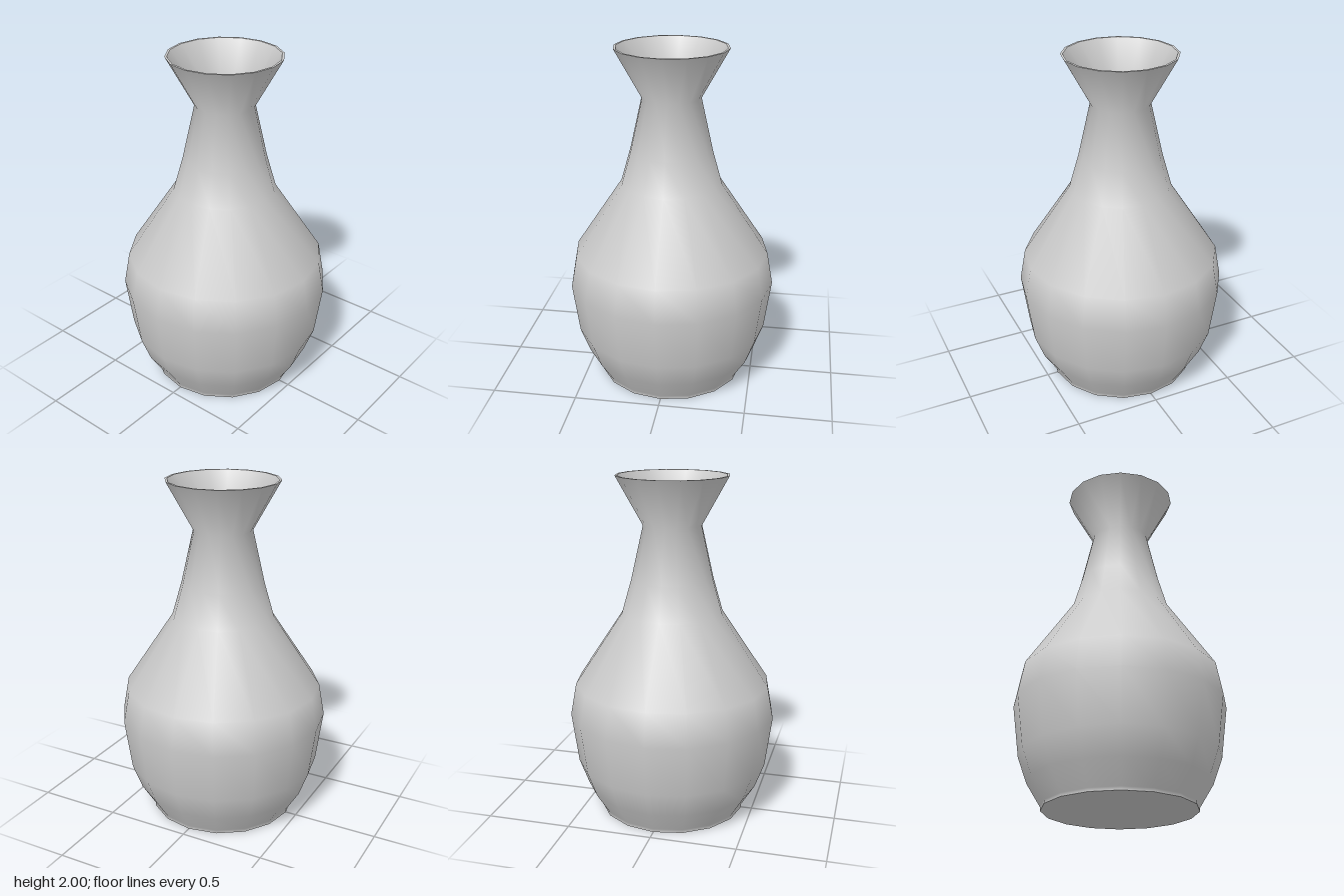
import * as THREE from 'three';

const SIDES = 16;
const material = new THREE.MeshStandardMaterial({ color: 0xcccccc });

// Smooth surface of revolution from [radius, height] pairs; the profile's left side faces in
function turned(name, profile) {
  const points = profile.map(([r, y]) => new THREE.Vector2(r, y));
  const mesh = new THREE.Mesh(new THREE.LatheGeometry(points, SIDES), material);
  mesh.name = name;
  return mesh;
}

export function createModel() {
  const vase = new THREE.Group();
  vase.name = 'vase';

  // Foot, belly, shoulder, neck and flared mouth, bottom to top
  const outer = [
    [0.435, 0], [0.435, 0.02], [0.515, 0.15], [0.57, 0.3], [0.61, 0.6],
    [0.575, 0.79], [0.297, 1.21], [0.24, 1.41], [0.17, 1.72], [0.325, 2],
  ];
  // Hollow inside, top to bottom
  const inner = [
    [0.312, 2], [0.147, 1.72], [0.217, 1.41], [0.275, 1.2], [0.553, 0.78],
    [0.587, 0.6], [0.548, 0.305], [0.495, 0.16], [0.42, 0.025],
  ];

  vase.add(
    turned('base', [[0, 0], outer[0]]),
    turned('outerWall', outer),
    turned('rim', [outer[outer.length - 1], inner[0]]),
    turned('innerWall', inner),
    turned('innerFloor', [inner[inner.length - 1], [0, 0.025]]),
  );
  return vase;
}
